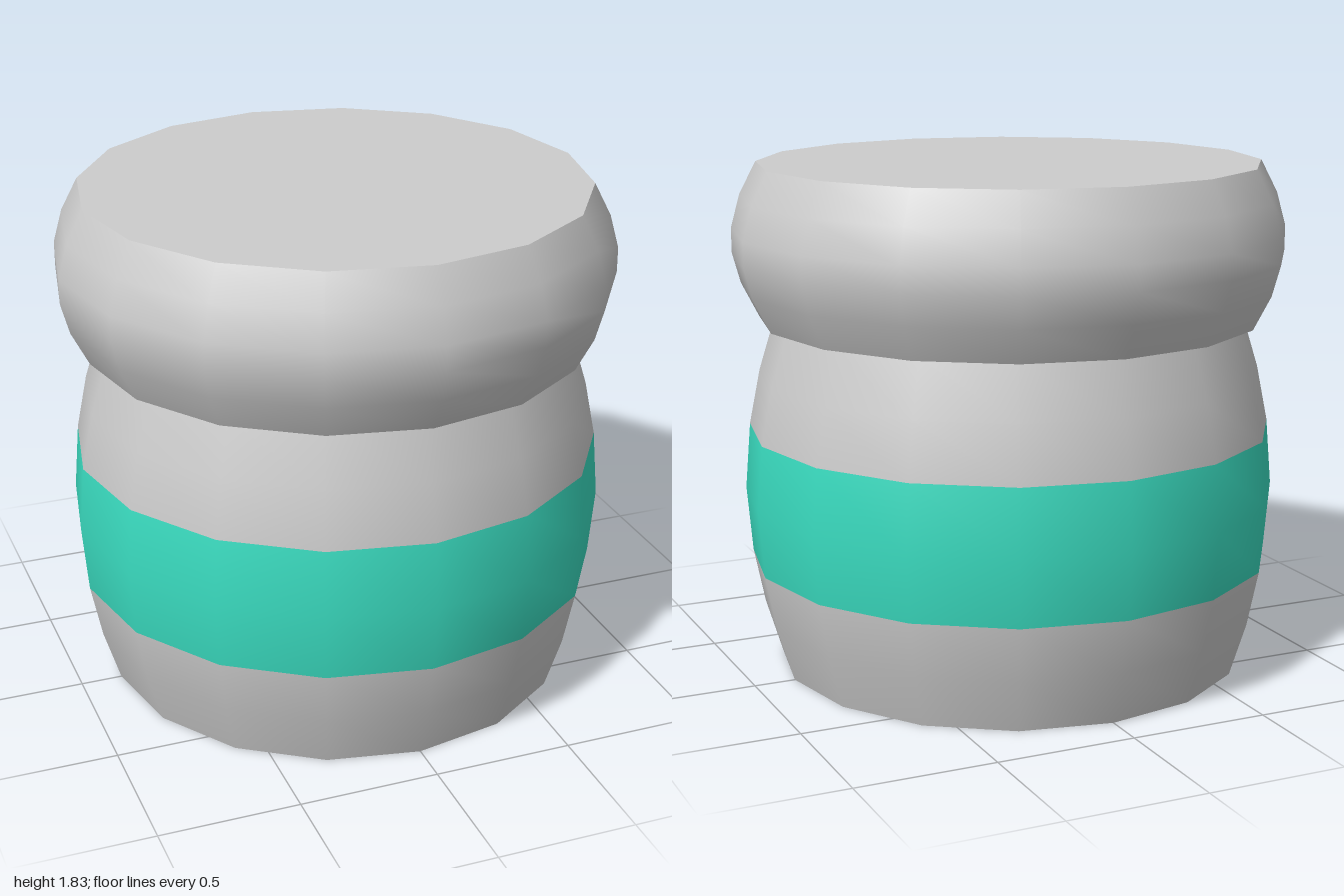
import * as THREE from 'three';

const SIDES = 16;

// Sixteen-sided lathe from [radius, height] pairs
const turn = (pairs) =>
  new THREE.LatheGeometry(pairs.map(([r, y]) => new THREE.Vector2(r, y)), SIDES);

export function createModel() {
  const grey = new THREE.MeshStandardMaterial({ color: 0xcccccc });
  grey.name = 'grey';
  const teal = new THREE.MeshStandardMaterial({ color: 0x3adcc0 });
  teal.name = 'teal';

  const group = new THREE.Group();
  group.name = 'jar';
  const add = (name, geometry, material) => {
    const mesh = new THREE.Mesh(geometry, material);
    mesh.name = name;
    group.add(mesh);
  };

  // Bulging body, with the two middle rows coloured as a band
  const profile = [
    [0.85, 0.005], [0.91, 0.2], [0.95, 0.4], [0.97, 0.64],
    [0.95, 0.88], [0.91, 1.08], [0.85, 1.277],
  ];
  const body = turn(profile);
  const rows = profile.length - 1;
  for (let s = 0; s < SIDES; s++) {
    const start = s * rows * 6;
    body.addGroup(start, 12, 0);
    body.addGroup(start + 12, 12, 1);
    body.addGroup(start + 24, 12, 0);
  }
  add('body', body, [grey, teal]);

  // Flat foot ring and hollowed underside
  add('footRing', turn([[0.69, 0.005], [0.85, 0.005]]), grey);
  add('underside', turn([[0, 0.24], [0.25, 0.22], [0.5, 0.15], [0.69, 0.005]]), grey);

  // Rounded lid with flat top and lower lip
  add('lidSide', turn([
    [0.905, 1.277], [0.968, 1.4], [0.998, 1.51],
    [0.998, 1.6], [0.965, 1.72], [0.905, 1.837],
  ]), grey);
  add('lidTop', turn([[0.905, 1.837], [0, 1.837]]), grey);
  add('lidLip', turn([[0.8, 1.277], [0.905, 1.277]]), grey);

  return group;
}
